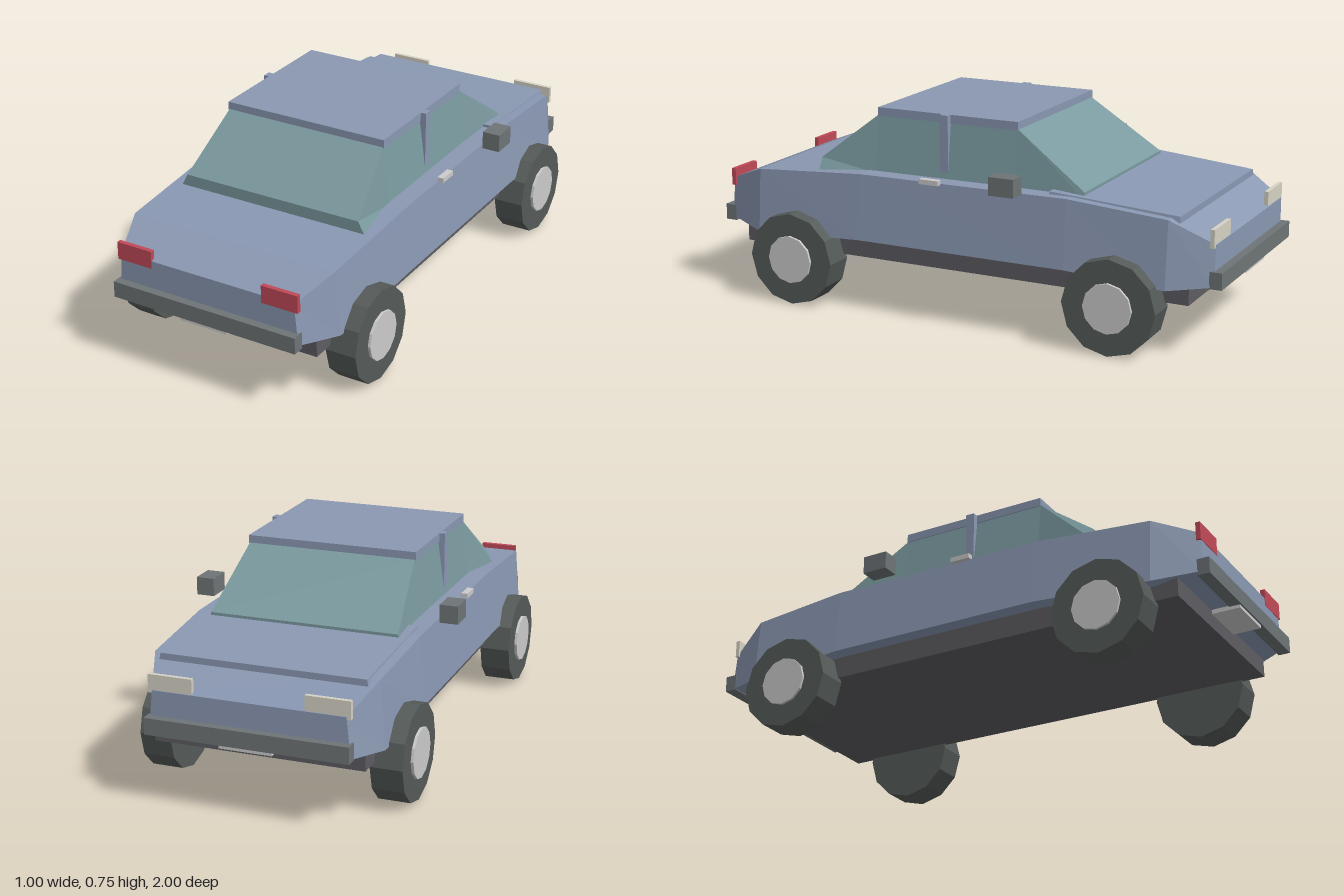
import * as THREE from 'three';

const mat = (color) => new THREE.MeshStandardMaterial({ color, flatShading: true });

// Loft of trapezoid sections along z: [z, yBottom, yTop, halfWidthBottom, halfWidthTop], z ascending
function loft(sections) {
  const rings = sections.map(([z, yb, yt, wb, wt]) => [[-wb, yb, z], [wb, yb, z], [wt, yt, z], [-wt, yt, z]]);
  const pos = [];
  const quad = (a, b, c, d) => pos.push(...a, ...b, ...c, ...a, ...c, ...d);
  for (let i = 0; i < rings.length - 1; i++) {
    const r = rings[i], s = rings[i + 1];
    for (let j = 0; j < 4; j++) {
      const k = (j + 1) % 4;
      quad(r[j], r[k], s[k], s[j]);
    }
  }
  const first = rings[0], last = rings[rings.length - 1];
  quad(first[0], first[3], first[2], first[1]);
  quad(...last);
  const g = new THREE.BufferGeometry();
  g.setAttribute('position', new THREE.Float32BufferAttribute(pos, 3));
  g.computeVertexNormals();
  return g;
}

// Box from its lower and upper limits
function box(x0, x1, y0, y1, z0, z1) {
  const g = new THREE.BoxGeometry(x1 - x0, y1 - y0, z1 - z0);
  return g.translate((x0 + x1) / 2, (y0 + y1) / 2, (z0 + z1) / 2);
}

export function createModel() {
  const car = new THREE.Group();
  car.name = 'car';
  const paint = mat(0x8a98b2), glass = mat(0x7a9a9f), trim = mat(0x6e7476), sill = mat(0x5c5c62);
  const tyre = mat(0x555b59), metal = mat(0xcccccc), red = mat(0xc04a58), lamp = mat(0xd6d2c4);
  const add = (name, geometry, material, parent = car) => {
    const m = new THREE.Mesh(geometry, material);
    m.name = name;
    parent.add(m);
    return m;
  };

  // Main shell, tapering at both ends
  add('body', loft([
    [-0.97, 0.26, 0.405, 0.36, 0.345],
    [-0.82, 0.245, 0.487, 0.425, 0.405],
    [-0.45, 0.27, 0.518, 0.437, 0.415],
    [0.37, 0.27, 0.513, 0.437, 0.415],
    [0.81, 0.245, 0.482, 0.425, 0.405],
    [0.97, 0.27, 0.42, 0.36, 0.345],
  ]), paint);
  add('underbody', box(-0.38, 0.38, 0.19, 0.28, -0.89, 0.89), sill);
  add('hood', loft([
    [-0.85, 0.47, 0.494, 0.375, 0.37],
    [-0.37, 0.5, 0.528, 0.385, 0.38],
  ]), paint);

  // Cabin
  add('windows', loft([
    [-0.49, 0.505, 0.53, 0.355, 0.35],
    [-0.22, 0.51, 0.717, 0.345, 0.316],
    [0.345, 0.505, 0.717, 0.345, 0.316],
    [0.57, 0.495, 0.542, 0.375, 0.35],
  ]), glass);
  add('roof', box(-0.32, 0.32, 0.714, 0.745, -0.22, 0.345), paint);

  // Bumpers, number plates
  for (const s of [-1, 1]) {
    const z = (a, b) => (s > 0 ? [a, b] : [-b, -a]);
    add(s > 0 ? 'tailBumper' : 'noseBumper', box(-0.365, 0.365, 0.255, 0.315, ...z(0.955, 1)), trim);
    add('numberPlate', box(-0.095, 0.095, 0.243, 0.259, ...z(0.88, 0.995)), metal);
  }

  // Parts repeated on both sides
  for (const s of [-1, 1]) {
    const x = (a, b) => (s > 0 ? [a, b] : [-b, -a]);
    add('doorPillar', box(...x(0.315, 0.341), 0.5, 0.745, 0.047, 0.08), paint);
    add('mirror', box(...x(0.433, 0.5), 0.52, 0.586, -0.29, -0.195), trim);
    add('doorHandle', box(...x(0.41, 0.434), 0.51, 0.528, 0.04, 0.115), metal);
    add('headlight', box(...x(0.2, 0.36), 0.395, 0.46, -0.968, -0.953), lamp);
    add('taillight', box(...x(0.22, 0.36), 0.392, 0.457, 0.955, 0.972), red);

    for (const z of [-0.637, 0.637]) {
      const wheel = new THREE.Group();
      wheel.name = 'wheel';
      wheel.position.set(s * 0.4225, 0.173, z);
      add('tyre', new THREE.CylinderGeometry(0.173, 0.173, 0.115, 12).rotateZ(Math.PI / 2), tyre, wheel);
      const hub = add('hubcap', new THREE.CylinderGeometry(0.09, 0.09, 0.03, 12).rotateZ(Math.PI / 2), metal, wheel);
      hub.position.x = s * 0.0525;
      car.add(wheel);
    }
  }
  return car;
}
